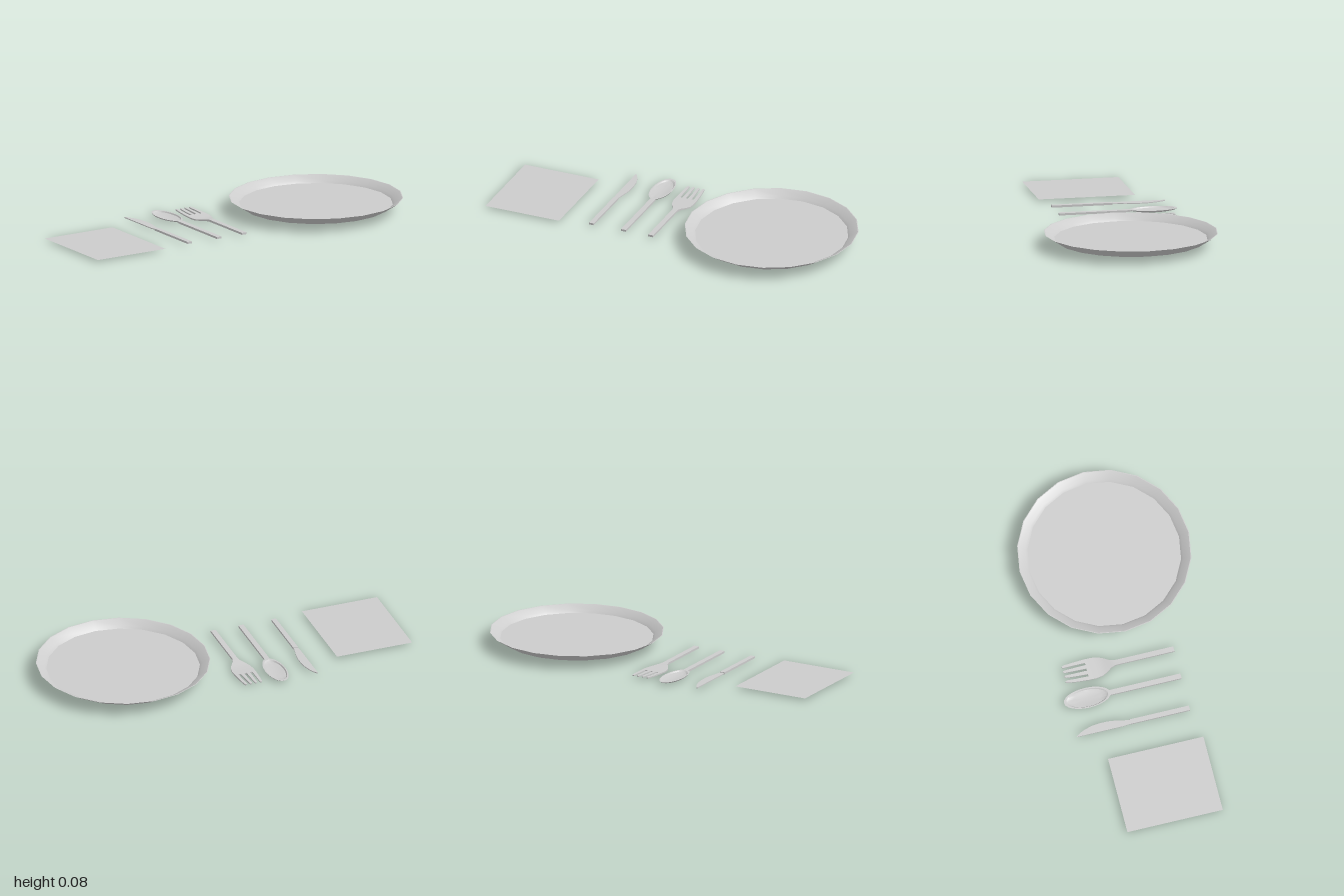
import * as THREE from 'three';
import { toCreasedNormals } from 'three/addons/utils/BufferGeometryUtils.js';

const material = new THREE.MeshStandardMaterial({ color: 0xcccccc, side: THREE.DoubleSide });

function addMesh(parent, name, geometry) {
  const mesh = new THREE.Mesh(geometry, material);
  mesh.name = name;
  parent.add(mesh);
  return mesh;
}

// Joins rectangular sections [z, xMin, xMax, yMin, yMax], listed from +z to -z.
function loft(sections) {
  const positions = [], index = [];
  for (const [z, x0, x1, y0, y1] of sections)
    positions.push(x0, y0, z, x1, y0, z, x1, y1, z, x0, y1, z);
  for (let s = 0; s < sections.length - 1; s++) {
    for (let i = 0; i < 4; i++) {
      const a = s * 4 + i, b = s * 4 + (i + 1) % 4;
      index.push(a, a + 4, b, b, a + 4, b + 4);
    }
  }
  const e = (sections.length - 1) * 4;
  index.push(0, 1, 2, 0, 2, 3, e, e + 2, e + 1, e, e + 3, e + 2);
  const geometry = new THREE.BufferGeometry();
  geometry.setAttribute('position', new THREE.Float32BufferAttribute(positions, 3));
  geometry.setIndex(index);
  return toCreasedNormals(geometry, 0.6);
}

function lathe(profile, segments) {
  const points = profile.map(([r, y]) => new THREE.Vector2(r, y));
  return new THREE.LatheGeometry(points, segments);
}

function makePlate() {
  const plate = new THREE.Group();
  plate.name = 'plate';
  const profile = [
    [0, 0.03], [0.393, 0.03], [0.462, 0.075],
    [0.458, 0.075], [0.419, 0.053], [0.407, 0.04], [0, 0.04],
  ];
  addMesh(plate, 'plateDish', toCreasedNormals(lathe(profile, 20), 0.45));
  plate.position.x = 0.538;
  return plate;
}

function makeFork() {
  const fork = new THREE.Group();
  fork.name = 'fork';
  // Handle, dipping neck and palm: z, half width, underside, thickness
  const body = [
    [0.23, 0.014, 0.006, 0.011], [-0.09, 0.014, 0.006, 0.011],
    [-0.115, 0.021, 0.005, 0.009], [-0.145, 0.041, 0.002, 0.007],
    [-0.17, 0.053, 0, 0.007], [-0.205, 0.059, 0.001, 0.007],
    [-0.245, 0.059, 0.003, 0.007],
  ];
  addMesh(fork, 'forkBody', loft(body.map(([z, w, y, t]) => [z, -w, w, y, y + t])));
  // Four tapering tines that curve upwards
  for (let i = 0; i < 4; i++) {
    const c = i - 1.5;
    const tine = [
      [-0.245, 0.0325, 0.0102, 0.003, 0.007], [-0.31, 0.031, 0.0085, 0.006, 0.007],
      [-0.36, 0.0285, 0.007, 0.009, 0.007], [-0.37, 0.0285, 0.004, 0.010, 0.006],
    ];
    addMesh(fork, 'forkTine', loft(tine.map(([z, pitch, w, y, t]) =>
      [z, c * pitch - w, c * pitch + w, y, y + t])));
  }
  fork.position.x = -0.06;
  return fork;
}

function makeSpoon() {
  const spoon = new THREE.Group();
  spoon.name = 'spoon';
  addMesh(spoon, 'spoonHandle', loft([
    [0.23, -0.014, 0.014, 0.006, 0.017], [-0.12, -0.014, 0.014, 0.006, 0.017],
    [-0.165, -0.014, 0.014, 0.009, 0.017],
  ]));
  // Oval hollow bowl with a flat lip
  const bowl = lathe([
    [0, 0.004], [0.7, 0.005], [0.92, 0.01], [1, 0.017],
    [0.89, 0.017], [0.82, 0.011], [0.6, 0.008], [0, 0.007],
  ], 24);
  bowl.scale(0.057, 1, 0.127);
  addMesh(spoon, 'spoonBowl', toCreasedNormals(bowl, 0.6)).position.z = -0.281;
  spoon.position.x = -0.217;
  return spoon;
}

function makeKnife() {
  const knife = new THREE.Group();
  knife.name = 'knife';
  addMesh(knife, 'knifeHandle', loft([
    [0.23, -0.415, -0.389, 0.006, 0.017], [-0.095, -0.415, -0.389, 0.006, 0.017],
  ]));
  // Blade with a straight spine and a bellied edge
  const blade = [
    [-0.095, -0.413, -0.391], [-0.13, -0.417, -0.385], [-0.17, -0.417, -0.376],
    [-0.21, -0.417, -0.371], [-0.255, -0.417, -0.371], [-0.3, -0.417, -0.376],
    [-0.34, -0.417, -0.388], [-0.37, -0.417, -0.402], [-0.385, -0.417, -0.413],
  ];
  addMesh(knife, 'knifeBlade', loft(blade.map(([z, a, b]) => [z, a, b, 0.009, 0.014])));
  return knife;
}

export function createModel() {
  const group = new THREE.Group();
  group.name = 'placeSetting';
  group.add(makePlate(), makeFork(), makeSpoon(), makeKnife());

  // Flat napkin sheet
  const napkin = addMesh(group, 'napkin', new THREE.PlaneGeometry(0.425, 0.52));
  napkin.rotation.x = -Math.PI / 2;
  napkin.position.set(-0.7875, 0.01, 0.003);
  return group;
}
